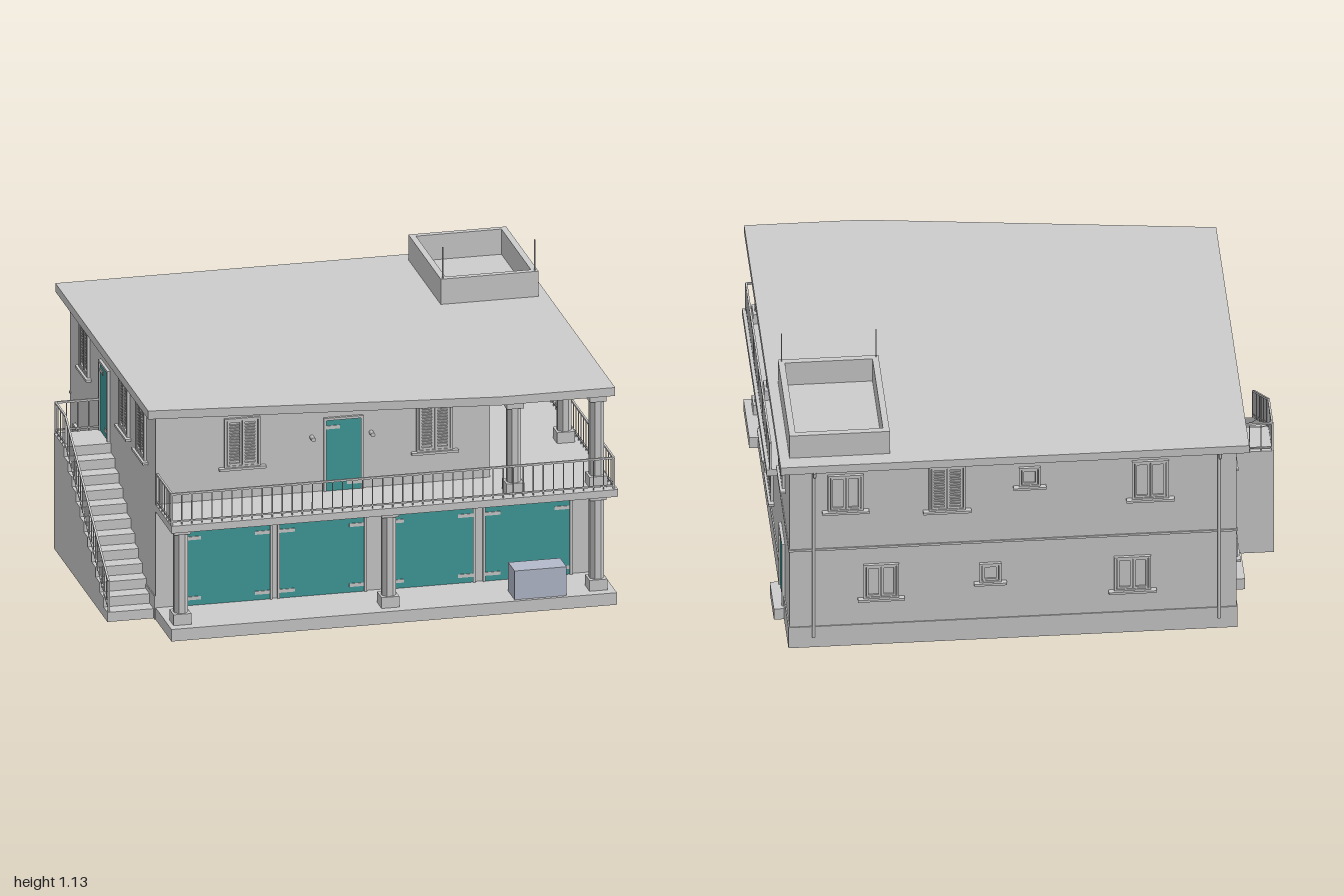
import * as THREE from 'three';

const mat = (c) => new THREE.MeshStandardMaterial({ color: c });
const GREY = mat(0xcccccc), TEAL = mat(0x409999), BLUE = mat(0xb4bacc), PANE = mat(0xdddddd);

// Box given by its minimum and maximum corners
function block(parent, name, x0, x1, y0, y1, z0, z1, m = GREY) {
  const b = new THREE.Mesh(new THREE.BoxGeometry(x1 - x0, y1 - y0, z1 - z0), m);
  b.position.set((x0 + x1) / 2, (y0 + y1) / 2, (z0 + z1) / 2);
  b.name = name;
  parent.add(b);
  return b;
}

function group(parent, name) {
  const g = new THREE.Group();
  g.name = name;
  parent.add(g);
  return g;
}

// Square bar between two points
function bar(parent, name, a, b, t) {
  const m = new THREE.Mesh(new THREE.BoxGeometry(t, t, a.distanceTo(b)), GREY);
  m.position.copy(a).lerp(b, 0.5);
  m.lookAt(b);
  m.name = name;
  parent.add(m);
}

// Wall planes: local +z points out of the wall, u runs along the wall in world x or z
const WALLS = {
  front: (u, y) => [u, y, 0.61, 0],
  back: (u, y) => [u, y, -0.8, Math.PI],
  right: (u, y) => [0.95, y, u, Math.PI / 2],
  left: (u, y) => [-0.81, y, u, -Math.PI / 2],
  terrace: (u, y) => [0.54, y, u, Math.PI / 2],
  terraceBack: (u, y) => [u, y, -0.26, 0],
};
function onWall(parent, name, wall, u, y) {
  const [px, py, pz, r] = WALLS[wall](u, y);
  const g = group(parent, name);
  g.position.set(px, py, pz);
  g.rotation.y = r;
  return g;
}

// Raised border; bottom piece optional
function border(g, w, h, t, d, bottom) {
  for (const s of [-1, 1]) {
    const x = s * (w / 2 - t / 2);
    block(g, 'jamb', x - t / 2, x + t / 2, 0, h, 0, d);
  }
  block(g, 'lintel', -w / 2, w / 2, h - t, h, 0, d);
  if (bottom) block(g, 'bottomFrame', -w / 2, w / 2, 0, t, 0, d);
}

function makeWindow(parent, wall, u, y, w, h, louvered) {
  const g = onWall(parent, 'window', wall, u, y);
  border(g, w, h, 0.009, 0.012, true);
  block(g, 'sill', -w / 2 - 0.022, w / 2 + 0.022, -0.008, 0.002, 0, 0.022);
  const leaves = w > 0.1 ? [-1, 1] : [0];
  const lw = (w - 0.02) / leaves.length;
  for (const s of leaves) {
    const leaf = group(g, louvered ? 'shutter' : 'casement');
    leaf.position.set(s * lw / 2, 0.009, 0);
    border(leaf, lw - 0.003, h - 0.018, 0.009, 0.009, true);
    block(leaf, 'pane', -lw / 2 + 0.008, lw / 2 - 0.008, 0.008, h - 0.026, 0, 0.002, PANE);
    if (!louvered) continue;
    const n = Math.round(h / 0.016);
    for (let i = 0; i < n; i++) {
      const yy = 0.015 + (i + 0.5) * (h - 0.048) / n;
      block(leaf, 'slat', -lw / 2 + 0.009, lw / 2 - 0.009, yy - 0.005, yy + 0.005, 0.004, 0.007).rotation.x = 0.5;
    }
  }
}

function makeDoor(parent, name, wall, u, y, w, h) {
  const g = onWall(parent, name, wall, u, y);
  border(g, w + 0.02, h + 0.01, 0.01, 0.012, false);
  block(g, 'leaf', -w / 2, w / 2, 0, h, 0, 0.006, TEAL);
  const len = Math.min(w * 0.4, 0.06);
  for (const yy of [0.03, h - 0.03]) {
    for (const s of w > 0.2 ? [-1, 1] : [yy < 0.1 ? 1 : -1]) {
      const x = s * (w / 2 - len / 2);
      block(g, 'hinge', x - len / 2, x + len / 2, yy - 0.007, yy + 0.007, 0.006, 0.009);
    }
  }
}

// Octagonal column with square base and cap
function makeColumn(parent, x, z, y0, y1) {
  const g = group(parent, 'column');
  const shaft = new THREE.Mesh(new THREE.CylinderGeometry(0.03, 0.03, y1 - y0, 8),
    new THREE.MeshStandardMaterial({ color: 0xcccccc, flatShading: true }));
  shaft.rotation.y = Math.PI / 8;
  shaft.position.set(x, (y0 + y1) / 2, z);
  shaft.name = 'shaft';
  g.add(shaft);
  block(g, 'base', x - 0.036, x + 0.036, y0, y0 + 0.045, z - 0.036, z + 0.036);
  block(g, 'cap', x - 0.034, x + 0.034, y1 - 0.025, y1, z - 0.034, z + 0.034);
}

// Railing along a line of floor points
function makeRailing(parent, pts) {
  const g = group(parent, 'railing');
  const lift = (p, d) => p.clone().setY(p.y + d);
  pts.map((p) => new THREE.Vector3(...p)).forEach((b, k, all) => {
    if (!k) return;
    const a = all[k - 1];
    bar(g, 'handrail', lift(a, 0.128), lift(b, 0.128), 0.008);
    bar(g, 'bottomRail', lift(a, 0.014), lift(b, 0.014), 0.006);
    const n = Math.max(2, Math.round(a.distanceTo(b) / 0.041));
    for (let i = 0; i <= n; i++) {
      const p = a.clone().lerp(b, i / n);
      bar(g, 'baluster', p, lift(p, 0.128), i % n ? 0.004 : 0.008);
    }
  });
}

// Flat slab from an x/z outline
function makeSlab(parent, name, outline, y0, y1) {
  const shape = new THREE.Shape(outline.map(([x, z]) => new THREE.Vector2(x, -z)));
  const geo = new THREE.ExtrudeGeometry(shape, { depth: y1 - y0, bevelEnabled: false });
  geo.rotateX(-Math.PI / 2).translate(0, y0, 0);
  const m = new THREE.Mesh(geo, GREY);
  m.name = name;
  parent.add(m);
}

export function createModel() {
  const house = new THREE.Group();
  house.name = 'house';

  // Walls, plinth and porch
  block(house, 'groundFloor', -0.81, 0.95, 0, 0.475, -0.8, 0.61);
  block(house, 'upperFloor', -0.81, 0.54, 0.475, 0.86, -0.8, 0.61);
  block(house, 'upperWing', 0.54, 0.95, 0.475, 0.86, -0.8, -0.26);
  block(house, 'plinth', -0.814, 0.955, 0, 0.097, -0.804, 0.605);
  block(house, 'porchFloor', -0.81, 0.99, 0, 0.05, 0.6, 0.87);
  block(house, 'backLedge', -0.814, 0.954, 0.455, 0.464, -0.805, -0.79);
  block(house, 'rightLedge', 0.94, 0.954, 0.455, 0.464, -0.8, -0.26);
  block(house, 'rightDoorstep', 0.94, 0.995, 0, 0.05, -0.6, -0.41);
  block(house, 'leftDoorstep', -0.865, -0.8, 0, 0.05, -0.545, -0.36);

  // Balcony slab wraps the front and the right terrace
  makeSlab(house, 'balconyFloor', [[-0.81, 0.87], [0.995, 0.87], [0.995, -0.26], [0.53, -0.26],
    [0.53, 0.6], [-0.81, 0.6]], 0.45, 0.48);
  makeRailing(house, [[-0.805, 0.48, 0.615], [-0.805, 0.48, 0.855], [0.98, 0.48, 0.855], [0.98, 0.48, -0.26]]);

  // Roof and open roof parapet
  makeSlab(house, 'roof', [[-0.855, 0.67], [0.53, 0.84], [0.99, 0.84], [0.99, -0.86], [-0.855, -0.86]], 0.86, 0.895);
  const parapet = group(house, 'roofParapet');
  for (const z of [-0.795, -0.285]) block(parapet, 'parapetWall', 0.555, 0.95, 0.89, 1.0, z, z + 0.025);
  for (const x of [0.555, 0.925]) block(parapet, 'parapetWall', x, x + 0.025, 0.89, 1.0, -0.77, -0.285);
  for (const x of [0.565, 0.937]) block(house, 'roofRod', x - 0.002, x + 0.002, 0.99, 1.13, -0.272, -0.268);

  // Columns
  for (const x of [-0.755, 0.085, 0.925]) makeColumn(house, x, 0.793, 0.05, 0.45);
  for (const [x, z] of [[0.59, 0.793], [0.925, 0.793], [0.925, 0.26]]) makeColumn(house, x, z, 0.48, 0.86);

  // Doors
  for (const x of [-0.52, -0.14, 0.3, 0.69]) makeDoor(house, 'garageDoor', 'front', x, 0.05, 0.34, 0.31);
  makeDoor(house, 'balconyDoor', 'front', -0.053, 0.48, 0.14, 0.295);
  makeDoor(house, 'terraceDoor', 'terraceBack', 0.75, 0.48, 0.14, 0.285);
  makeDoor(house, 'terraceSideDoor', 'terrace', -0.187, 0.48, 0.125, 0.285);
  makeDoor(house, 'sideDoor', 'right', -0.5, 0.05, 0.14, 0.28);
  makeDoor(house, 'sideDoor', 'left', -0.45, 0.05, 0.14, 0.28);
  makeDoor(house, 'stairDoor', 'left', -0.215, 0.48, 0.13, 0.285);

  // Windows: wall, position, sill height, width, height, louvered
  [
    ['front', -0.462, 0.61, 0.145, 0.205, true], ['front', 0.315, 0.61, 0.145, 0.205, true],
    ['terrace', 0.272, 0.61, 0.145, 0.205, true],
    ['right', 0.34, 0.19, 0.185, 0.15, true], ['right', 0.035, 0.19, 0.185, 0.15, true],
    ['right', -0.527, 0.615, 0.14, 0.16, false],
    ['left', -0.54, 0.63, 0.14, 0.19, true], ['left', 0.11, 0.61, 0.145, 0.205, true],
    ['left', 0.39, 0.61, 0.145, 0.205, true], ['left', -0.675, 0.27, 0.08, 0.09, false],
    ['back', 0.73, 0.64, 0.14, 0.17, false], ['back', 0.33, 0.62, 0.145, 0.21, true],
    ['back', 0.005, 0.715, 0.085, 0.09, false], ['back', -0.47, 0.63, 0.145, 0.18, false],
    ['back', 0.59, 0.22, 0.14, 0.16, false], ['back', 0.16, 0.27, 0.085, 0.09, false],
    ['back', -0.4, 0.2, 0.145, 0.16, false],
  ].forEach((w) => makeWindow(house, ...w));

  // Outside stair with landing
  const profile = new THREE.Shape().moveTo(-0.295, 0).lineTo(0.59, 0);
  for (let i = 0; i < 12; i++) {
    const z = 0.59 - i * 0.065;
    profile.lineTo(z, (i + 1) * 0.04).lineTo(i < 11 ? z - 0.065 : -0.295, (i + 1) * 0.04);
  }
  const stairGeo = new THREE.ExtrudeGeometry(profile, { depth: 0.19, bevelEnabled: false });
  stairGeo.rotateY(-Math.PI / 2).translate(-0.81, 0, 0);
  const stair = new THREE.Mesh(stairGeo, GREY);
  stair.name = 'outsideStair';
  house.add(stair);
  makeRailing(house, [[-0.815, 0.48, -0.29], [-0.994, 0.48, -0.29], [-0.994, 0.48, -0.125], [-0.994, 0.04, 0.585]]);

  // Storage box and lamps
  block(house, 'storageBox', 0.58, 0.79, 0.05, 0.17, 0.75, 0.855, BLUE);
  for (const x of [-0.33, 0.26, 0.725]) block(house, 'ceilingLamp', x - 0.02, x + 0.02, 0.432, 0.451, 0.72, 0.757, BLUE);
  for (const x of [-0.18, 0.06]) {
    const lamp = new THREE.Mesh(new THREE.CylinderGeometry(0.009, 0.009, 0.036, 12), GREY);
    lamp.rotation.x = Math.PI / 2;
    lamp.position.set(x, 0.708, 0.627);
    lamp.name = 'wallLamp';
    house.add(lamp);
  }

  // Rain pipes on the back wall
  for (const x of [-0.74, 0.857]) {
    const path = new THREE.CurvePath();
    const pts = [[0.05, -0.808], [0.848, -0.808], [0.848, -0.87], [0.87, -0.87]].map(([y, z]) => new THREE.Vector3(x, y, z));
    for (let i = 0; i < 3; i++) path.add(new THREE.LineCurve3(pts[i], pts[i + 1]));
    const pipe = new THREE.Mesh(new THREE.TubeGeometry(path, 120, 0.006, 8), GREY);
    pipe.name = 'rainPipe';
    house.add(pipe);
  }
  return house;
}
